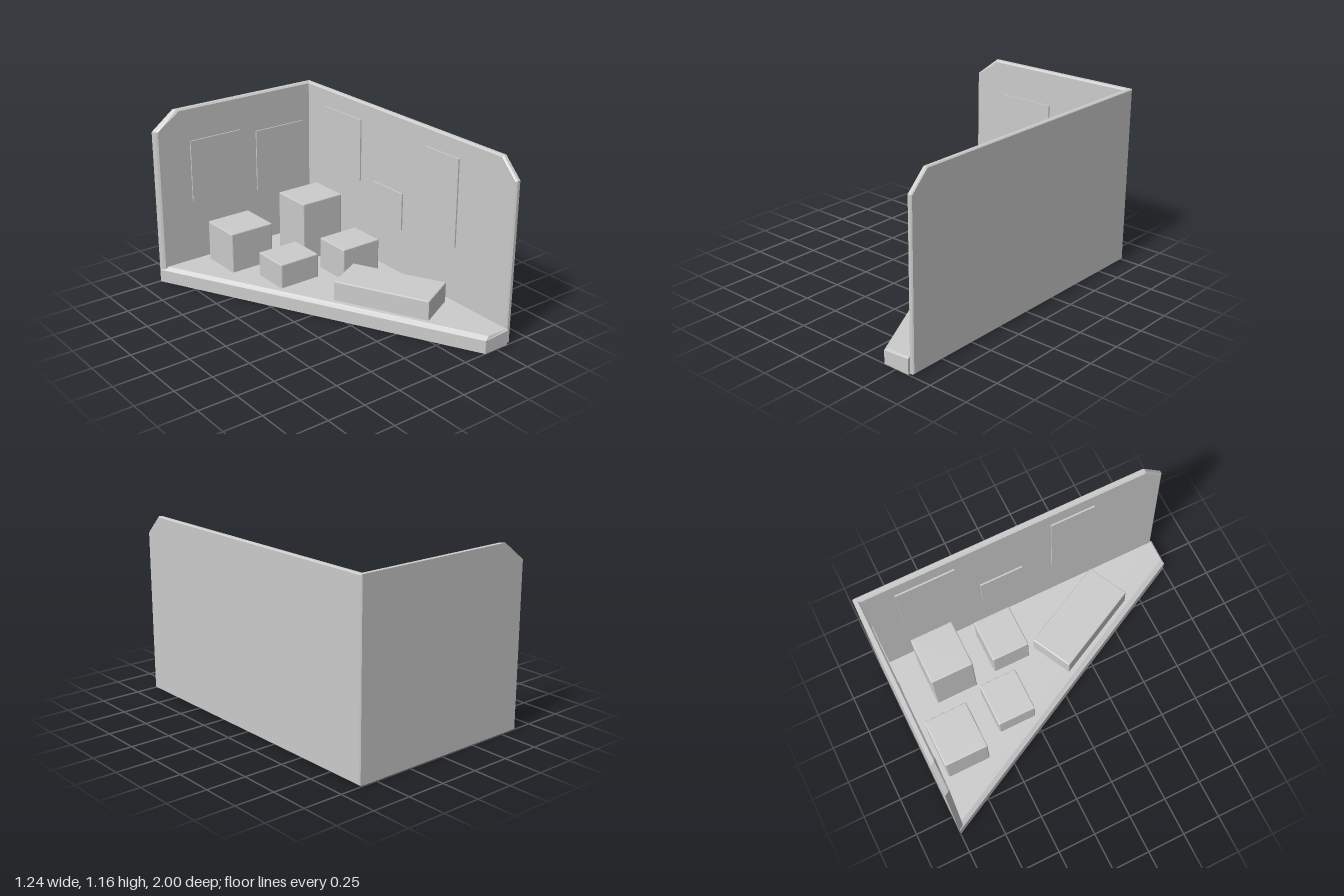
import * as THREE from 'three';
import { RoundedBoxGeometry } from 'three/addons/geometries/RoundedBoxGeometry.js';

const material = new THREE.MeshStandardMaterial({ color: 0xcccccc, flatShading: true });

// Skins convex rings of [x, y, z] corners; rings run counter-clockwise seen from the last one.
function loft(rings) {
  const out = [];
  const n = rings[0].length;
  const tri = (a, b, c) => out.push(...a, ...b, ...c);
  for (let r = 0; r < rings.length - 1; r++) {
    const a = rings[r], b = rings[r + 1];
    for (let i = 0; i < n; i++) {
      const j = (i + 1) % n;
      tri(a[i], a[j], b[j]);
      tri(a[i], b[j], b[i]);
    }
  }
  const first = rings[0], last = rings[rings.length - 1];
  for (let i = 1; i < n - 1; i++) {
    tri(first[0], first[i + 1], first[i]);
    tri(last[0], last[i], last[i + 1]);
  }
  const geometry = new THREE.BufferGeometry();
  geometry.setAttribute('position', new THREE.Float32BufferAttribute(out, 3));
  geometry.computeVertexNormals();
  return geometry;
}

export function createModel() {
  const model = new THREE.Group();
  model.name = 'cornerRoom';
  const add = (name, geometry, x = 0, y = 0, z = 0, turn = 0) => {
    const mesh = new THREE.Mesh(geometry, material);
    mesh.name = name;
    mesh.position.set(x, y, z);
    mesh.rotation.y = turn;
    model.add(mesh);
  };

  // Floor slab with a slanting, bevelled open side
  const floorRing = (y, yEnd, inset, front) => [
    [-0.62 + inset, y, -0.995], [0.41 + inset, y, front],
    [0.59, yEnd, front], [0.59, yEnd, -0.995],
  ];
  add('floor', loft([
    floorRing(0, 0, 0, 1),
    floorRing(0.085, 0.097, 0, 1),
    floorRing(0.105, 0.105, 0.03, 0.99),
  ]));

  // Back wall, clipped top corner, free end cut along the slant
  const backRing = (z, end, top) => [
    [-0.617 + end, 0.005, z], [0.595, 0.005, z], [0.595, 1.16 - top, z],
    [-0.46 + end, 1.16 - top, z], [-0.617 + end, 1.04, z],
  ];
  add('backWall', loft([
    backRing(-1, 0, 0), backRing(-0.975, 0.013, 0), backRing(-0.965, 0.025, 0.01),
  ]));

  // Side wall, clipped top corner at the front
  const sideRing = (x, b) => [
    [x, 0.005 + b, -1 + b], [x, 0.005 + b, 0.99 - b], [x, 1.04 - b / 2, 0.99 - b],
    [x, 1.16 - b, 0.87 - b / 2], [x, 1.16 - b, -1 + b],
  ];
  add('sideWall', loft([
    sideRing(0.62, 0.006), sideRing(0.614, 0), sideRing(0.595, 0), sideRing(0.585, 0.01),
  ]));

  // Furniture blocks: centre x, centre z, width, depth, top, turn
  const blocks = [
    [-0.127, -0.772, 0.315, 0.285, 0.375, 0],
    [0.348, -0.635, 0.315, 0.28, 0.51, 0],
    [-0.02, -0.375, 0.29, 0.25, 0.267, 0],
    [0.365, -0.23, 0.29, 0.25, 0.317, 0],
    [0.273, 0.29, 0.29, 0.63, 0.235, 0.47],
  ];
  const base = 0.09;
  blocks.forEach(([x, z, w, d, top, turn], i) => add(
    'block' + (i + 1), new RoundedBoxGeometry(w, top - base, d, 1, 0.007),
    x, (top + base) / 2, z, turn));

  // Thin panels on the back wall: x from, x to, y from, y to
  [[-0.365, 0.015, 0.52, 0.937], [0.142, 0.523, 0.48, 0.9]].forEach(([x0, x1, y0, y1], i) => add(
    'backPanel' + (i + 1), new THREE.BoxGeometry(x1 - x0, y1 - y0, 0.02),
    (x0 + x1) / 2, (y0 + y1) / 2, -0.966));

  // Thin panels on the side wall: z from, z to, y from, y to
  [[-0.77, -0.39, 0.62, 1.04], [-0.25, 0.035, 0.41, 0.66], [0.24, 0.53, 0.465, 1.04]]
    .forEach(([z0, z1, y0, y1], i) => add(
      'sidePanel' + (i + 1), new THREE.BoxGeometry(0.02, y1 - y0, z1 - z0),
      0.585, (y0 + y1) / 2, (z0 + z1) / 2));

  return model;
}
